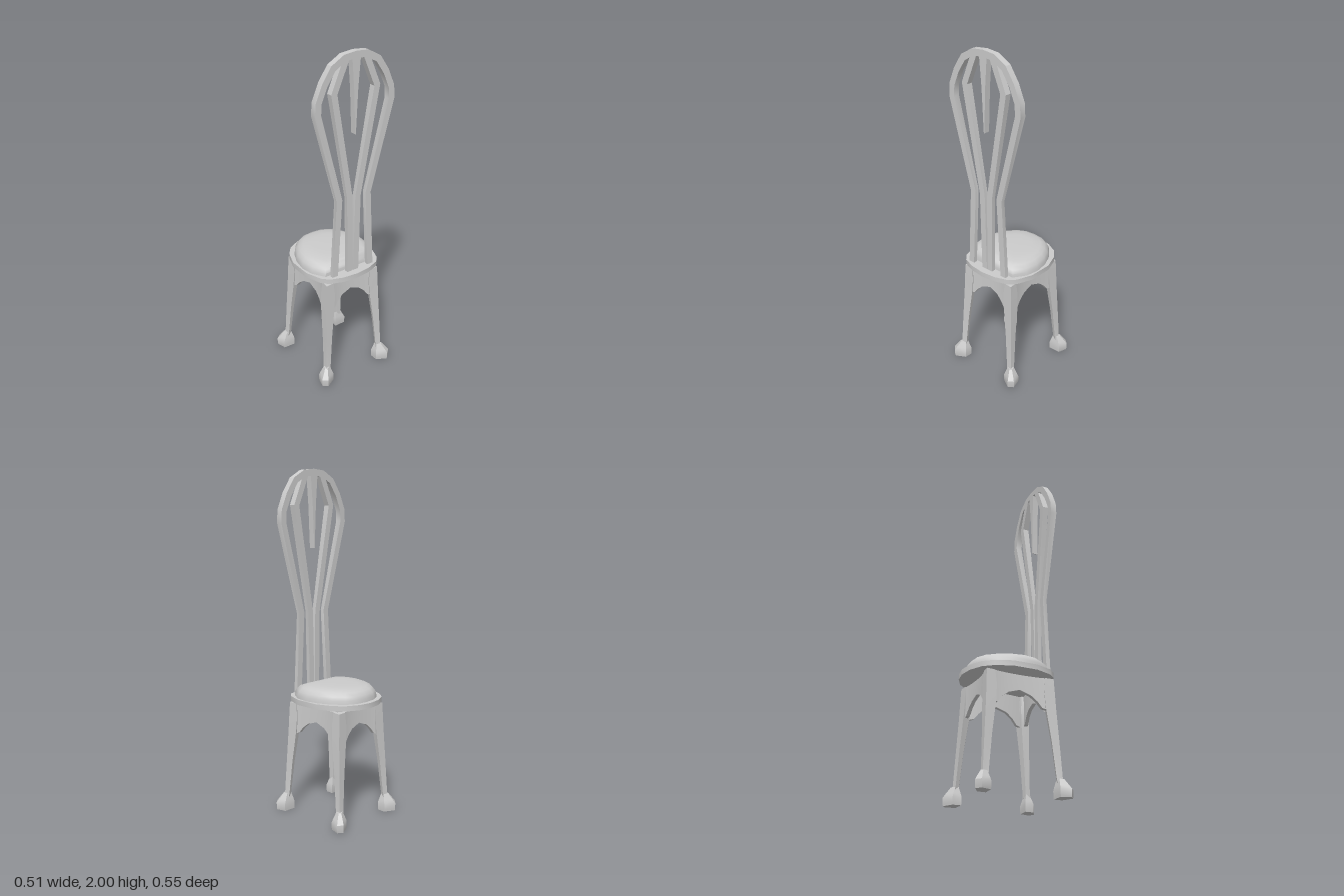
import * as THREE from 'three';
import { toCreasedNormals } from 'three/addons/utils/BufferGeometryUtils.js';

const material = new THREE.MeshStandardMaterial({ color: 0xcccccc });

// Closed solid through rings of [x, y, z] points, capped at both ends.
function loft(rings, crease = 0.5) {
  const n = rings[0].length;
  const pts = rings.flat();
  const idx = [];
  for (let r = 0; r < rings.length - 1; r++) {
    for (let i = 0; i < n; i++) {
      const a = r * n + i, b = r * n + (i + 1) % n;
      idx.push(a, b, b + n, a, b + n, a + n);
    }
  }
  const last = (rings.length - 1) * n;
  for (let i = 1; i < n - 1; i++) {
    idx.push(0, i + 1, i, last, last + i, last + i + 1);
  }
  // Turn the faces outward whatever the ring direction
  let volume = 0;
  const v = (i) => new THREE.Vector3(...pts[i]);
  for (let i = 0; i < idx.length; i += 3) {
    volume += v(idx[i]).dot(v(idx[i + 1]).cross(v(idx[i + 2])));
  }
  if (volume < 0) idx.reverse();
  const g = new THREE.BufferGeometry();
  g.setAttribute('position', new THREE.Float32BufferAttribute(pts.flat(), 3));
  g.setIndex(idx);
  return toCreasedNormals(g, crease);
}

// Bar of rectangular section along [x, y] points, thinner in z low down.
function bar(path, width) {
  const p = path.map(([x, y]) => new THREE.Vector2(x, y));
  const rings = p.map((c, i) => {
    const d1 = c.clone().sub(p[Math.max(i - 1, 0)]).normalize();
    const d2 = p[Math.min(i + 1, p.length - 1)].clone().sub(c).normalize();
    const t = d1.clone().add(d2).normalize();
    const mitre = width / 2 / t.dot(i ? d1 : d2);
    const ox = -t.y * mitre, oy = t.x * mitre;
    const h = c.y > 1.6 ? 0.018 : 0.012, z = 0.191;
    return [[c.x + ox, c.y + oy, z - h], [c.x - ox, c.y - oy, z - h],
      [c.x - ox, c.y - oy, z + h], [c.x + ox, c.y + oy, z + h]];
  });
  return loft(rings, 0.45);
}

const mirrorPath = (path) => path.map(([x, y]) => [-x, y]);

// Full outline from its +x half (first and last points may lie on x = 0)
const fullOutline = (half) =>
  [...half, ...half.filter(([x]) => x > 0).reverse().map(([x, z]) => [-x, z])];

export function createModel() {
  const group = new THREE.Group();
  const add = (name, geometry) => {
    const mesh = new THREE.Mesh(geometry, material);
    mesh.name = name;
    group.add(mesh);
  };

  // Seat plate
  const plate = fullOutline([[0, -0.27], [0.08, -0.257], [0.155, -0.218], [0.2, -0.162],
    [0.236, -0.066], [0.236, 0.075], [0.202, 0.171], [0.166, 0.209], [0.091, 0.236], [0, 0.246]]);
  add('seatPlate', loft([0.675, 0.705].map((y) => plate.map(([x, z]) => [x, y, z]))));

  // Padded cushion with a straight rear edge
  const pad = fullOutline([[0, -0.24], [0.07, -0.233], [0.13, -0.2], [0.18, -0.137],
    [0.213, -0.065], [0.228, 0.02], [0.215, 0.1], [0.17, 0.172]]);
  const padLevels = [[0.7, 1], [0.725, 0.99], [0.745, 0.955], [0.765, 0.87], [0.775, 0.75], [0.78, 0.5], [0.781, 0.2]];
  add('cushion', loft(padLevels.map(([y, s]) =>
    pad.map(([x, z]) => [x * s, y, -0.03 + (z + 0.03) * s])), 1.0));

  // Legs: [y, outer x, outer z, width]
  const legLevels = [[0.66, 0.182, 0.2, 0.05], [0.58, 0.186, 0.203, 0.062], [0.49, 0.19, 0.206, 0.06],
    [0.3, 0.198, 0.216, 0.044], [0.1, 0.206, 0.226, 0.034], [0.08, 0.21, 0.23, 0.036]];
  // Feet: pentagon narrowing into the ankle
  const foot = [[0.225, 0.274], [0.253, 0.25], [0.237, 0.193], [0.163, 0.19], [0.164, 0.24]];
  const footLevels = [[0, 0.96], [0.01, 1], [0.045, 1], [0.065, 0.8], [0.1, 0.42]];
  for (const sx of [1, -1]) {
    for (const sz of [1, -1]) {
      const place = `${sz > 0 ? 'front' : 'back'}${sx > 0 ? 'Left' : 'Right'}`;
      add(`${place}Leg`, loft(legLevels.map(([y, x, z, w]) => [
        [x, z], [x - w, z - 0.004], [x - 0.75 * w, z - 0.75 * w], [x - 0.004, z - w],
      ].map(([a, b]) => [sx * a, y, sz * b])), 0.6));
      add(`${place}Foot`, loft(footLevels.map(([y, s]) => foot.map(([x, z]) =>
        [sx * (0.19 + (x - 0.19) * s), y, sz * (0.21 + (z - 0.21) * s)])), 0.6));
    }
  }

  // Arched apron panels, bowed slightly inward: [fraction of half width, arch height]
  const arch = [[-0.95, 0.47], [-0.66, 0.485], [-0.52, 0.52], [-0.33, 0.55], [0, 0.572],
    [0.33, 0.55], [0.52, 0.52], [0.66, 0.485], [0.95, 0.47]];
  const apron = (half, out, side, turned) => loft(arch.map(([f, y]) => {
    const o = out - 0.022 * (1 - f * f);
    return [[0.66, o], [y, o + 0.004], [y, o - 0.018], [0.66, o - 0.018]]
      .map(([h, d]) => (turned ? [side * d, h, f * half] : [f * half, h, side * d]));
  }), 0.6);
  for (const side of [1, -1]) {
    add(side > 0 ? 'frontApron' : 'backApron', apron(0.182, 0.2, side, false));
    add(side > 0 ? 'leftApron' : 'rightApron', apron(0.2, 0.182, side, true));
  }

  // Backrest: outer hoop
  const hoopSide = [[0.125, 0.7], [0.098, 1.18], [0.238, 1.7], [0.234, 1.768],
    [0.196, 1.856], [0.143, 1.934], [0.072, 1.974]];
  add('backHoop', bar([...hoopSide, [0, 1.981], ...mirrorPath(hoopSide).reverse()], 0.037));

  // Inner curved spindles
  const spindle = [[0.02, 0.7], [0.028, 1.18], [0.138, 1.795], [0.065, 1.965]];
  add('leftSpindle', bar(spindle, 0.037));
  add('rightSpindle', bar(mirrorPath(spindle), 0.037));

  // Hanging centre spike
  add('centreSpike', loft([[1.97, 0.027], [1.8, 0.013], [1.55, 0.002]].map(([y, w]) =>
    [[-w, y, 0.173], [w, y, 0.173], [w, y, 0.209], [-w, y, 0.209]])));

  return group;
}
